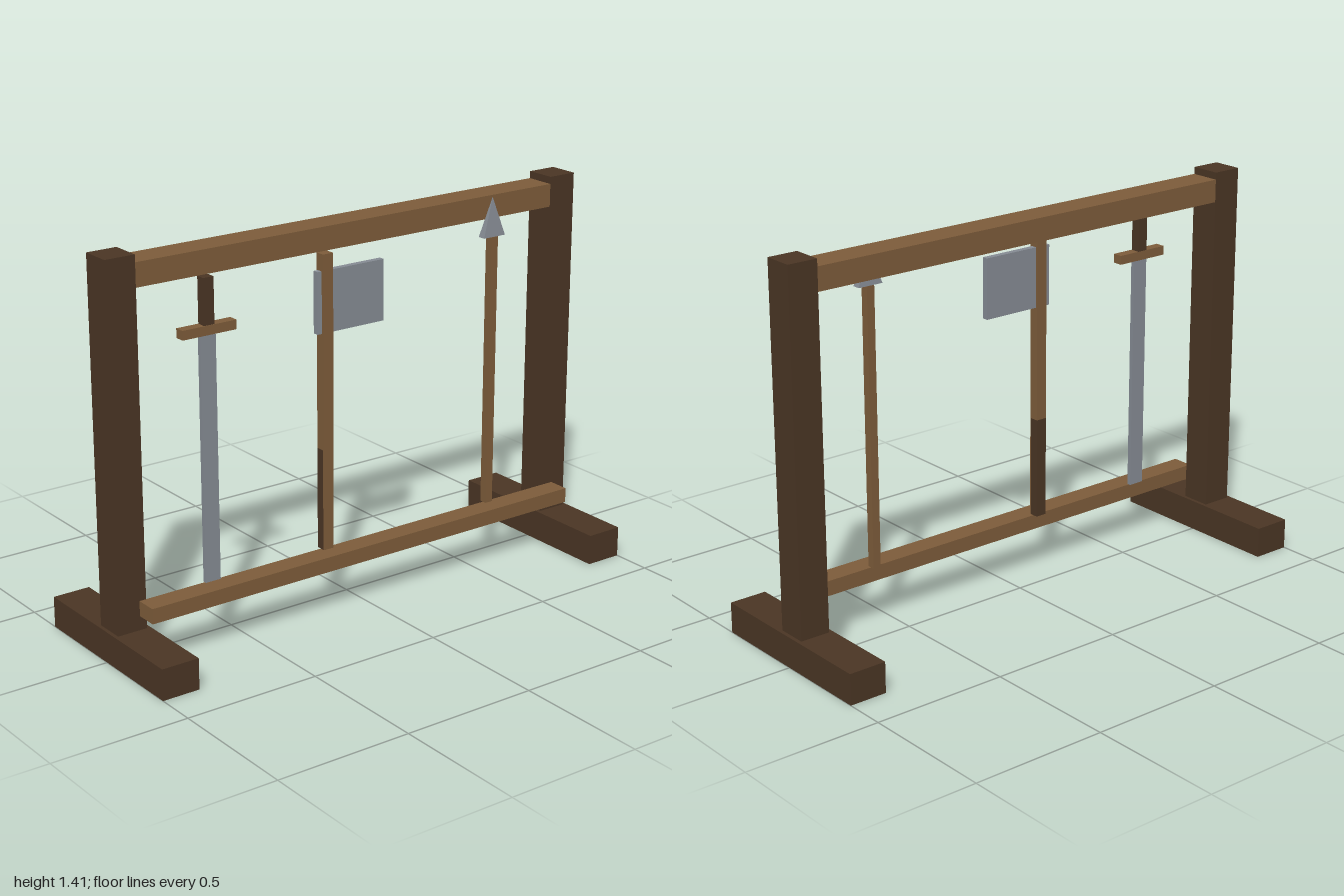
import * as THREE from 'three';

export function createModel() {
  const group = new THREE.Group();
  group.name = 'weaponRack';
  const mat = (name, color) => {
    const m = new THREE.MeshStandardMaterial({ color });
    m.name = name;
    return m;
  };
  const darkWood = mat('dark wood', 0x4a3524);
  const lightWood = mat('light wood', 0x7d5c3a);
  const steel = mat('steel', 0x858b93);

  // Box given by its lower and upper limits on each axis
  const box = (name, material, [x0, x1], [y0, y1], [z0, z1], parent = group) => {
    const mesh = new THREE.Mesh(new THREE.BoxGeometry(x1 - x0, y1 - y0, z1 - z0), material);
    mesh.position.set((x0 + x1) / 2, (y0 + y1) / 2, (z0 + z1) / 2);
    mesh.name = name;
    parent.add(mesh);
    return mesh;
  };
  const part = (name) => {
    const g = new THREE.Group();
    g.name = name;
    group.add(g);
    return g;
  };

  // Frame: feet, posts, top beam and lower rail
  for (const [side, s] of [['left', 1], ['right', -1]]) {
    const foot = box(side + 'Foot', darkWood, [-0.07, 0.07], [0, 0.113], [-0.352, 0.352]);
    foot.position.x = s * 0.93;
    const post = box(side + 'Post', darkWood, [-0.056, 0.056], [0.113, 1.41], [-0.056, 0.056]);
    post.position.x = s * 0.93;
  }
  box('topBeam', lightWood, [-0.874, 0.874], [1.3, 1.384], [-0.056, 0.056]);
  box('lowerRail', lightWood, [-0.91, 0.91], [0.173, 0.228], [0.073, 0.154]);

  // Sword, point down
  const sword = part('sword');
  box('swordBlade', steel, [-0.652, -0.592], [0.228, 1.105], [0.066, 0.081], sword);
  box('swordGuard', lightWood, [-0.727, -0.517], [1.105, 1.138], [0.055, 0.092], sword);
  box('swordGrip', darkWood, [-0.642, -0.602], [1.138, 1.3], [0.055, 0.09], sword);

  // Axe: handle, dark grip around the back and sides, flat head
  const axe = part('axe');
  box('axeHandle', lightWood, [-0.166, -0.124], [0.6, 1.3], [0.055, 0.092], axe);
  box('axeGrip', darkWood, [-0.166, -0.124], [0.228, 0.6], [0.055, 0.088], axe);
  box('axeGripFront', lightWood, [-0.166, -0.124], [0.228, 0.6], [0.088, 0.092], axe);
  box('axeHead', steel, [-0.184, 0.096], [1.02, 1.24], [0.062, 0.084], axe);

  // Spear: shaft and flattened four-sided point
  const spear = part('spear');
  box('spearShaft', lightWood, [0.574, 0.604], [0.228, 1.24], [0.058, 0.088], spear);
  const point = new THREE.ConeGeometry(0.05 * Math.SQRT2, 0.142, 4).toNonIndexed();
  point.rotateY(Math.PI / 4).scale(0.96, 1, 0.3);
  point.computeVertexNormals();
  const tip = new THREE.Mesh(point, steel);
  tip.name = 'spearPoint';
  tip.position.set(0.589, 1.311, 0.072);
  spear.add(tip);

  return group;
}
